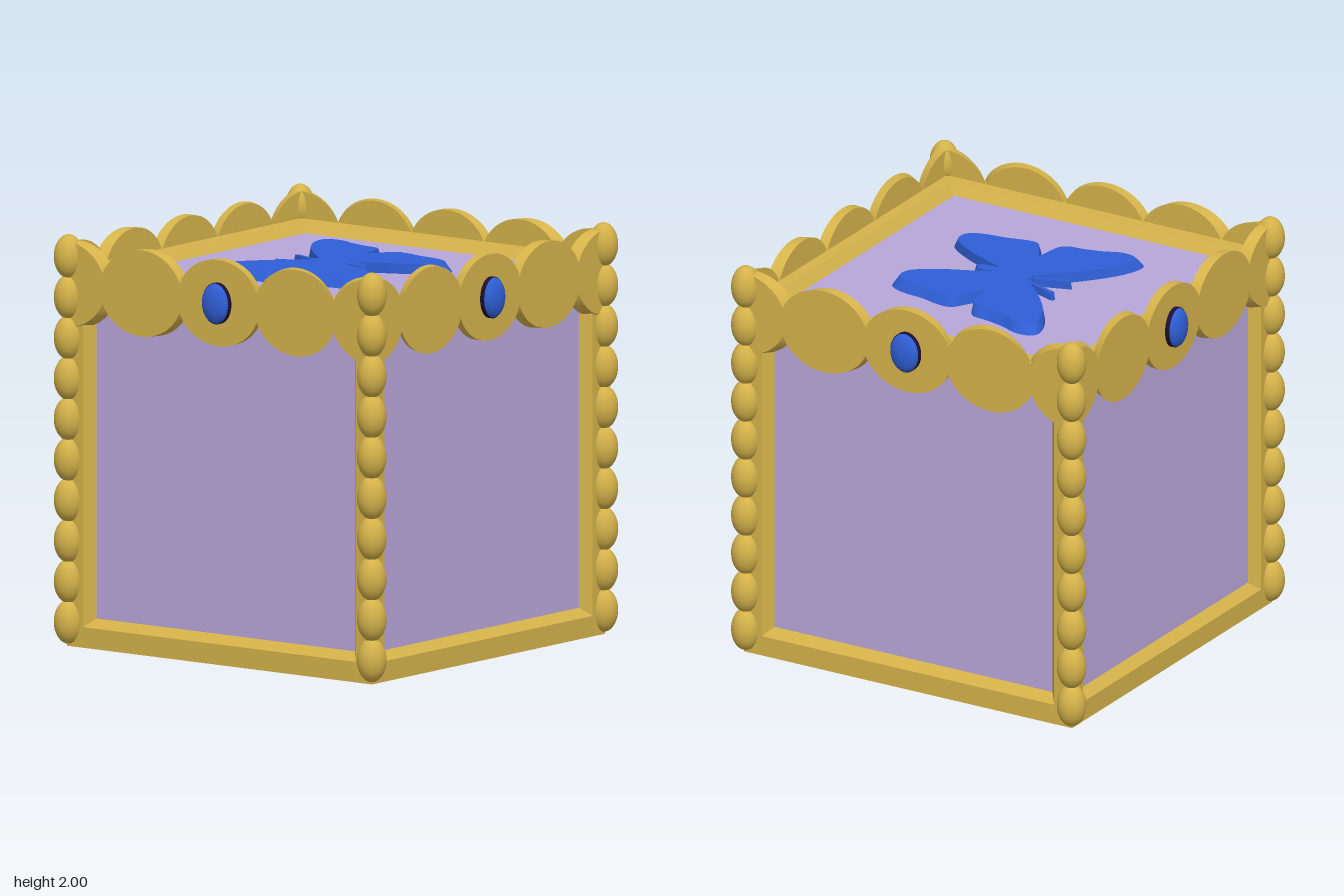
import * as THREE from 'three';
import { toCreasedNormals } from 'three/addons/utils/BufferGeometryUtils.js';

const gold = new THREE.MeshStandardMaterial({ color: 0xd4b24a });
const goldFlat = new THREE.MeshStandardMaterial({ color: 0xd4b24a, flatShading: true });
const lilac = new THREE.MeshStandardMaterial({ color: 0xb8a6d9 });
const blue = new THREE.MeshStandardMaterial({ color: 0x2f5fd6 });
const dark = new THREE.MeshStandardMaterial({ color: 0x1c1030 });

const HALF = 0.92;      // half size and centre height of the box
const PANEL = 0.87;     // distance of the recessed panels from the centre
const BAND_Y = 1.76;    // centre height of the scalloped band

function add(parent, name, geometry, material) {
  const mesh = new THREE.Mesh(geometry, material);
  mesh.name = name;
  parent.add(mesh);
  return mesh;
}

// Square picture frame facing +y: flat rim, then a bevel down to the panel
function frameGeometry() {
  const r = Math.SQRT2;
  const profile = [[HALF, HALF], [0.82, HALF], [0.78, PANEL]];
  return new THREE.LatheGeometry(
    profile.map(([x, y]) => new THREE.Vector2(x * r, y)), 4, Math.PI / 4);
}

// Row of overlapping ellipses, mitred at the corners
function bandGeometry() {
  const step = 0.465, outer = 0.93, inner = 0.88, n = 16;
  const top = [];
  for (let i = -2; i <= 2; i++) {
    const from = i === -2 ? 0 : -n + 1, to = i === 2 ? 0 : n;
    for (let k = from; k <= to; k++) {
      const dx = (step / 2) * Math.sin((k / n) * Math.PI / 2);
      top.push([i * step + dx, 0.21 * Math.sqrt(1 - (dx / 0.247) ** 2)]);
    }
  }
  const outline = [
    ...top.map(([x, h]) => new THREE.Vector2(x, -h)),
    ...top.reverse().map(([x, h]) => new THREE.Vector2(x, h)),
  ];
  const geo = new THREE.ExtrudeGeometry(new THREE.Shape(outline),
    { depth: outer - inner, bevelEnabled: false });
  geo.translate(0, 0, inner);
  const p = geo.attributes.position;
  for (let i = 0; i < p.count; i++) p.setX(i, p.getX(i) * p.getZ(i) / outer);
  return toCreasedNormals(geo, 0.5);
}

// Extrude a plan outline upwards, narrowing it about the centre by `taper`
function plate(outline, height, taper) {
  const geo = new THREE.ExtrudeGeometry(new THREE.Shape(outline), { depth: height, bevelEnabled: false });
  const p = geo.attributes.position;
  for (let i = 0; i < p.count; i++) {
    if (p.getZ(i) > height / 2) p.setXY(i, p.getX(i) * taper, p.getY(i) * taper);
  }
  geo.rotateX(-Math.PI / 2);
  return toCreasedNormals(geo, 0.6);
}

// Right half of the butterfly in plan (x, forward), as smooth runs between sharp corners
function butterflyOutline() {
  const runs = [
    [[0, 0.14], [0.03, 0.13]],
    [[0.03, 0.13], [0.09, 0.2], [0.2, 0.31], [0.33, 0.41], [0.45, 0.46], [0.515, 0.445],
      [0.525, 0.36], [0.49, 0.27], [0.465, 0.17], [0.455, 0.09], [0.42, 0.05], [0.35, 0.035], [0.26, 0.025]],
    [[0.26, 0.025], [0.34, -0.02], [0.41, -0.07], [0.415, -0.14], [0.39, -0.24], [0.37, -0.38],
      [0.32, -0.455], [0.23, -0.44], [0.14, -0.31], [0.085, -0.19], [0.033, -0.07]],
    [[0.033, -0.07], [0.026, -0.16], [0, -0.19]],
  ];
  const half = [];
  for (const run of runs) {
    const curve = new THREE.SplineCurve(run.map(([x, y]) => new THREE.Vector2(x, y)));
    half.push(...curve.getPoints((run.length - 1) * 5).slice(0, -1));
  }
  half.push(new THREE.Vector2(0, -0.19));
  const mirrored = half.slice(1, -1).reverse().map(v => new THREE.Vector2(-v.x, v.y));
  return [...half, ...mirrored];
}

export function createModel() {
  const model = new THREE.Group();
  model.name = 'jewelBox';

  // Panels and the frame on each of the six faces
  const box = new THREE.Group();
  box.name = 'box';
  box.position.y = HALF;
  model.add(box);
  add(box, 'panels', new THREE.BoxGeometry(PANEL * 2, PANEL * 2, PANEL * 2), lilac);
  const frame = frameGeometry();
  for (let i = 0; i < 4; i++) add(box, 'frame', frame, goldFlat).rotation.x = i * Math.PI / 2;
  for (const s of [-1, 1]) add(box, 'frame', frame, goldFlat).rotation.z = s * Math.PI / 2;

  // Scalloped band with a set gem on each side
  const band = bandGeometry();
  const setting = new THREE.CylinderGeometry(0.08, 0.08, 0.03, 40).rotateX(Math.PI / 2).scale(1, 1.26, 1);
  const dome = new THREE.SphereGeometry(1, 40, 12, 0, Math.PI * 2, 0, Math.PI / 2)
    .rotateX(Math.PI / 2).scale(0.077, 0.098, 0.04);
  for (let i = 0; i < 4; i++) {
    const side = new THREE.Group();
    side.name = 'bandSide';
    side.position.y = BAND_Y;
    side.rotation.y = i * Math.PI / 2;
    model.add(side);
    add(side, 'scallopedBand', band, gold);
    add(side, 'gemSetting', setting, dark).position.z = 0.937;
    add(side, 'gem', dome, blue).position.z = 0.95;
  }

  // Column of beads at each corner
  const bead = new THREE.SphereGeometry(1, 28, 18).scale(0.071, 0.107, 0.071);
  for (const x of [-1, 1]) {
    for (const z of [-1, 1]) {
      const column = new THREE.Group();
      column.name = 'beadColumn';
      column.position.set(x * 0.914, 0, z * 0.914);
      model.add(column);
      for (let i = 0; i < 10; i++) add(column, 'bead', bead, gold).position.y = 0.117 + i * 0.1973;
    }
  }

  // Butterfly on the top panel
  const butterfly = new THREE.Group();
  butterfly.name = 'butterfly';
  butterfly.position.y = HALF + PANEL;
  model.add(butterfly);
  add(butterfly, 'wingsAndBody', plate(butterflyOutline(), 0.05, 0.935), blue);
  const feeler = [[0.012, 0.12], [0.03, 0.12], [0.09, 0.29], [0.088, 0.305], [0.075, 0.31], [0.07, 0.295]];
  for (const s of [-1, 1]) {
    const pts = feeler.map(([x, y]) => new THREE.Vector2(s * x, y));
    add(butterfly, 'antenna', plate(pts, 0.04, 0.98), blue);
  }
  return model;
}
